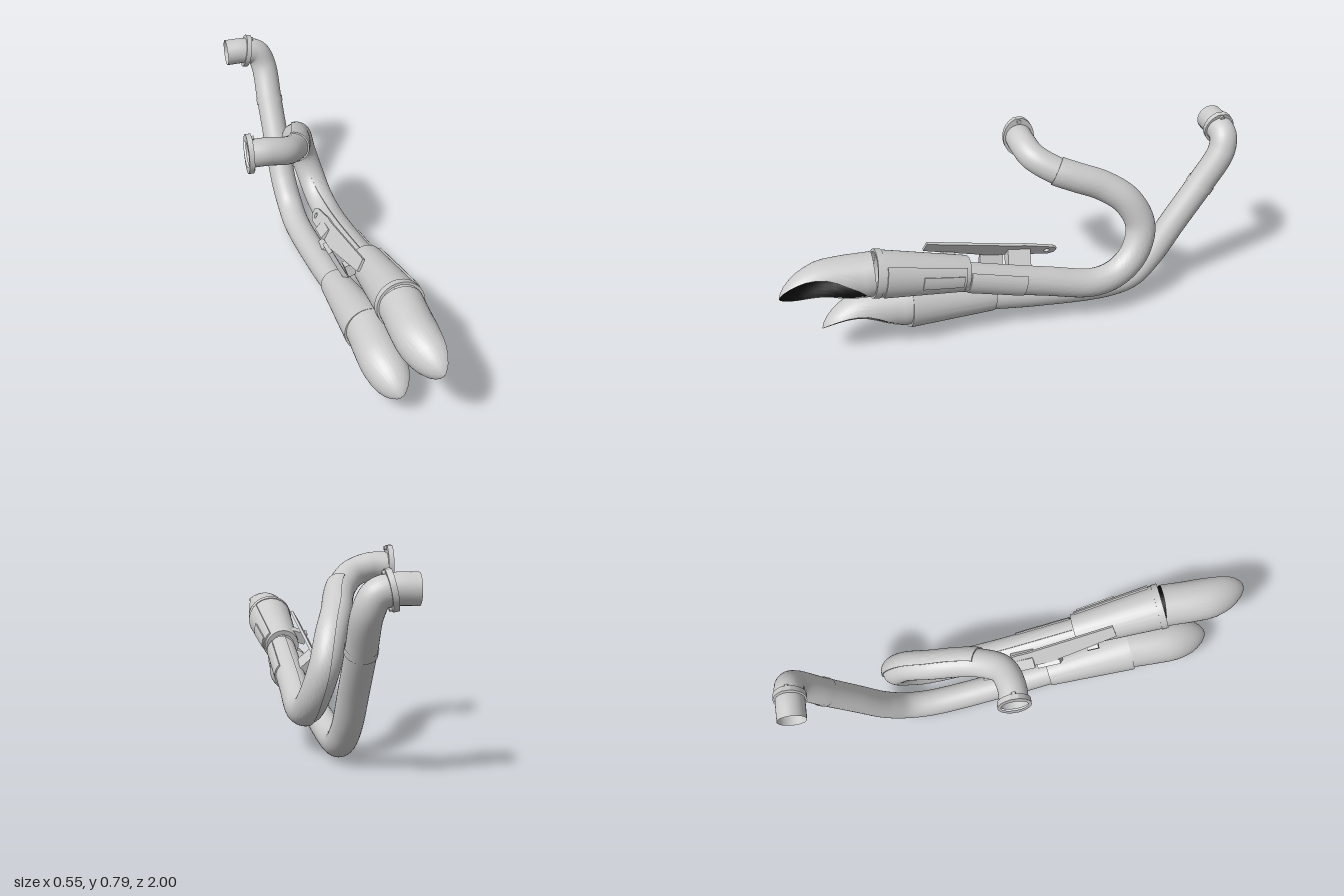
import * as THREE from 'three';
import { toCreasedNormals } from 'three/addons/utils/BufferGeometryUtils.js';

const V = (x, y, z) => new THREE.Vector3(x, y, z);
const grey = new THREE.MeshStandardMaterial({ color: 0xcccccc });
const thin = new THREE.MeshStandardMaterial({ color: 0xcccccc, side: THREE.DoubleSide });
const black = new THREE.MeshStandardMaterial({ color: 0x0a0a0a, side: THREE.DoubleSide });

function add(group, name, geo, mat = grey) {
  const m = new THREE.Mesh(geo, mat);
  m.name = name;
  group.add(m);
  return m;
}

// Skin a list of equally long point rows
function loft(rows) {
  const n = rows[0].length, index = [];
  for (let i = 0; i < rows.length - 1; i++)
    for (let j = 0; j < n - 1; j++) {
      const a = i * n + j, b = a + n;
      index.push(a, a + 1, b, a + 1, b + 1, b);
    }
  const g = new THREE.BufferGeometry().setFromPoints(rows.flat());
  g.setIndex(index);
  return toCreasedNormals(g, 0.6);
}

// Arc of points around centre c, square to direction T, angle 0 nearest to ref
function arc(c, T, ref, r, a0, a1, n = 40) {
  const N = ref.clone().addScaledVector(T, -ref.dot(T)).normalize();
  const B = T.clone().cross(N);
  return Array.from({ length: n + 1 }, (_, i) => {
    const a = a0 + (a1 - a0) * i / n;
    return c.clone().addScaledVector(N, r * Math.cos(a)).addScaledVector(B, r * Math.sin(a));
  });
}

// Curved panel hugging a path from t0 to t1, with its edges turned in
function panel(curve, t0, t1, radius, a0, a1, steps, lip) {
  const X = V(1, 0, 0), rows = [];
  for (let i = 0; i <= steps; i++) {
    const t = t0 + (t1 - t0) * i / steps, c = curve.getPoint(t), T = curve.getTangent(t);
    const R = radius(t), row = arc(c, T, X, R, a0, a1, 28);
    if (lip) {
      row.unshift(arc(c, T, X, R - lip, a0, a1, 1)[0]);
      row.push(arc(c, T, X, R - lip, a0, a1, 1)[1]);
      if (i === 0) rows.push(arc(c, T, X, R - lip, a0, a1, 30));
    }
    rows.push(row);
    if (lip && i === steps) rows.push(arc(c, T, X, R - lip, a0, a1, 30));
  }
  return loft(rows);
}

// Tapered muffler body with stepped ends: profile of [t, radius]
function muffler(a, b, profile) {
  const T = b.clone().sub(a).normalize();
  return loft(profile.map(([t, r]) => arc(a.clone().lerp(b, t), T, V(1, 0, 0), r, 0, Math.PI * 2, 48)));
}

// Scooped tip: [z, radius, shift, cut] measured along the cut direction
const TIP = [[0, .09, 0, .1], [.04, .09, 0, .09], [.07, .09, 0, .083], [.11, .09, 0, .07], [.15, .09, .002, .053],
  [.19, .09, .005, .04], [.23, .088, .011, .035], [.27, .083, .024, .036], [.3, .075, .033, .04],
  [.33, .06, .042, .045], [.355, .04, .048, .05], [.37, .02, .052, .053], [.376, .003, .054, .055]];
function tip(group, base, tilt) {
  const u = V(Math.cos(tilt), Math.sin(tilt), 0), T = V(0, 0, 1);
  const rows = k => TIP.map(([z, r, s, cut]) => {
    const a = Math.acos(THREE.MathUtils.clamp((cut - s) / r, -1, 1));
    const c = base.clone().addScaledVector(u, s).add(V(0, 0, z));
    return arc(c, T, u, r * k, a, Math.PI * 2 - a, 48);
  });
  add(group, 'tipShell', loft(rows(1)), thin);
  add(group, 'tipInside', loft(rows(0.96)), black);
  const back = add(group, 'tipBack', new THREE.CircleGeometry(0.086, 40), black);
  back.position.copy(base).add(V(0, 0, 0.035));
}

// Two-bolt lozenge flange, facing along x
function flange(name, pos, half, boreR) {
  const g = new THREE.Group();
  g.name = name;
  const s = new THREE.Shape();
  const side = boreR + 0.008, e = 0.016;
  s.moveTo(-e, half);
  s.lineTo(e, half);
  s.bezierCurveTo(side * 1.2, half * 0.6, side * 1.2, -half * 0.6, e, -half);
  s.lineTo(-e, -half);
  s.bezierCurveTo(-side * 1.2, -half * 0.6, -side * 1.2, half * 0.6, -e, half);
  s.holes.push(new THREE.Path().absarc(0, 0, boreR - 0.008, 0, Math.PI * 2, true));
  const plate = new THREE.ExtrudeGeometry(s, { depth: 0.022, bevelEnabled: false, curveSegments: 24 });
  plate.rotateY(Math.PI / 2);
  add(g, 'flangePlate', plate);
  for (const k of [-1, 1]) {
    const bolt = add(g, 'flangeBolt', new THREE.CylinderGeometry(0.009, 0.009, 0.012, 12));
    bolt.rotation.z = Math.PI / 2;
    bolt.position.set(0.026, k * (half - 0.012), 0);
  }
  g.position.copy(pos);
  return g;
}

export function createModel() {
  const root = new THREE.Group();
  root.name = 'twinExhaust';
  const upper = new THREE.Group(), lower = new THREE.Group();
  upper.name = 'upperExhaust';
  lower.name = 'lowerExhaust';
  root.add(upper, lower);

  // Upper header pipe, looping back and under
  const upPath = new THREE.CatmullRomCurve3([V(-.27, .705, -.085), V(-.19, .705, -.085), V(-.11, .68, -.11),
    V(-.055, .637, -.19), V(-.03, .607, -.27), V(-.005, .56, -.39), V(.03, .49, -.49), V(.06, .38, -.542),
    V(.09, .27, -.51), V(.11, .195, -.43), V(.125, .17, -.32), V(.13, .215, -.1), V(.145, .305, .25)]);
  add(upper, 'upperPipe', new THREE.TubeGeometry(upPath, 140, 0.058, 32), thin);
  upper.add(flange('upperFlange', V(-.277, .705, -.085), 0.086, 0.062));

  // Heat shield along the outer side of the loop, with a raised cover
  add(upper, 'heatShield', panel(upPath, 3.1 / 12, 1, () => 0.064, -1.75, 1.75, 90, 0.007), thin);
  add(upper, 'shieldCover', panel(upPath, 11.3 / 12, 0.997, () => 0.07, -.75, .75, 12, 0.007), thin);

  // Upper muffler and its side plates
  const ua = V(.145, .322, .24), ub = V(.17, .398, .625);
  add(upper, 'upperMuffler', muffler(ua, ub,
    [[0, .05], [0, .071], [.04, .073], [.93, .096], [.93, .099], [1, .099], [1, .088]]), thin);
  const uAxis = new THREE.LineCurve3(ua, ub);
  const cone = d => t => 0.072 + 0.026 * t + d;
  add(upper, 'mufflerPlate', panel(uAxis, .05, .9, cone(0.007), -.75, .8, 10, 0.01), thin);
  add(upper, 'mufflerBadgePlate', panel(uAxis, .08, .52, cone(0.013), -.2, .35, 8, 0.008), thin);
  tip(upper, V(.17, .398, .622), -0.58);

  // Lower header pipe, dropping from the rear and running forward
  const lowPath = new THREE.CatmullRomCurve3([V(-.205, .718, -.94), V(-.12, .718, -.94), V(-.06, .7, -.942),
    V(-.032, .64, -.927), V(-.025, .5, -.843), V(-.018, .33, -.728), V(-.01, .17, -.62), V(0, .09, -.535),
    V(.005, .061, -.42), V(.03, .085, -.1), V(.05, .12, .13)]);
  add(lower, 'lowerPipe', new THREE.TubeGeometry(lowPath, 140, 0.058, 32), thin);
  add(lower, 'pipeCollar', panel(lowPath, 3.95 / 10, 4.1 / 10, () => 0.061, 0, Math.PI * 2, 3, 0), thin);
  const rear = flange('lowerFlange', V(-.12, .718, -.94), 0.074, 0.06);
  rear.rotation.z = -0.2;
  lower.add(rear);

  // Lower muffler
  add(lower, 'lowerMuffler', muffler(V(.048, .12, .11), V(.085, .166, .48),
    [[0, .05], [0, .064], [.04, .066], [.95, .097], [1, .098], [1, .088]]), thin);
  tip(lower, V(.085, .172, .465), -0.92);

  // Mounting bracket: a long tilted plate with a bolt hole
  const bracket = new THREE.Group();
  bracket.name = 'bracket';
  root.add(bracket);
  const s = new THREE.Shape([[0, -.03], [.3, -.055], [.42, -.04], [.56, -.03], [.585, -.012], [.585, .018],
    [.56, .03], [.43, .035], [.38, .03], [0, .025]].map(p => new THREE.Vector2(...p)));
  s.holes.push(new THREE.Path().absarc(.545, 0, .012, 0, Math.PI * 2, true));
  const L = V(-.05, -.135, -.56).normalize();
  const W = V(.5, .86, 0);
  W.addScaledVector(L, -W.dot(L)).normalize();
  const plate = new THREE.ExtrudeGeometry(s, { depth: 0.012, bevelEnabled: false });
  plate.applyMatrix4(new THREE.Matrix4().makeBasis(L, W, L.clone().cross(W)).setPosition(.072, .436, .395));
  add(bracket, 'bracketPlate', plate);

  // Stays tying the plate to both pipes
  const stays = [[V(.085, .36, .3), V(.1, .05, .05), 0.3], [V(.06, .29, 0), V(.11, .05, .1), -0.75],
    [V(.05, .24, .12), V(.02, .16, .1), 0.45], [V(.085, .15, -.14), V(.1, .02, .08), 0.6]];
  for (const [p, size, roll] of stays) {
    const m = add(bracket, 'stay', new THREE.BoxGeometry(size.x, size.y, size.z));
    m.position.copy(p);
    m.rotation.set(-0.2, 0, roll);
  }
  return root;
}
